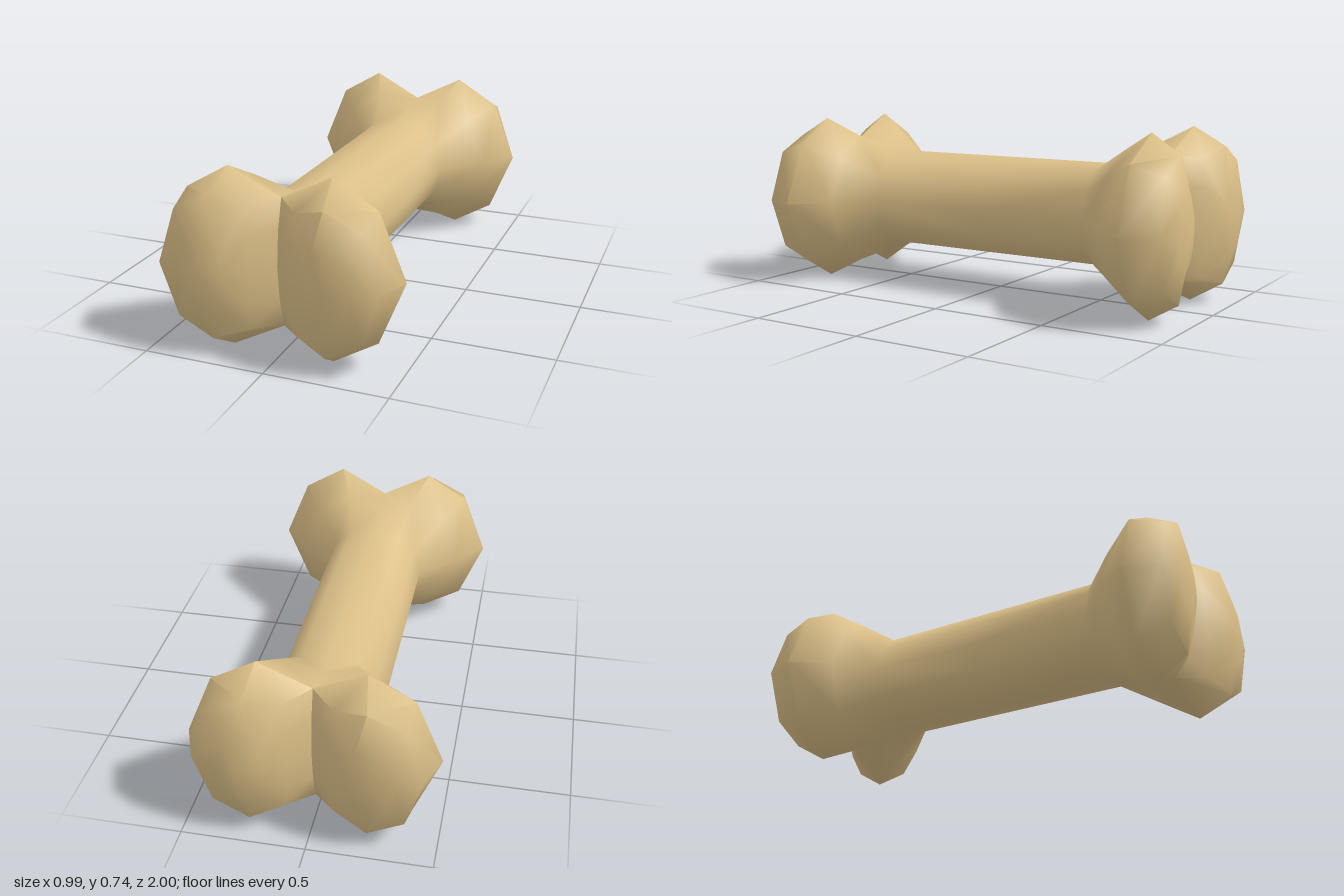
import * as THREE from 'three';
import { toCreasedNormals } from 'three/addons/utils/BufferGeometryUtils.js';

const MID = 0.368; // height of the bone's axis

// Mirror the upper points of a section (the last lies on the axis) downwards.
function halfRing(upper) {
  const lower = upper.slice(0, -1).reverse().map(([x, y, z]) => [x, 2 * MID - y, z]);
  return [...upper, ...lower];
}

// Half sections of the shaft and neck, from top to bottom round the outside.
const neck = [
  halfRing([[0, 0.585, 0], [0.115, 0.56, 0], [0.19, 0.48, 0], [0.22, MID, 0]]),
  halfRing([[0, 0.585, 0.52], [0.115, 0.56, 0.52], [0.19, 0.48, 0.52], [0.22, MID, 0.52]]),
  halfRing([[0, 0.61, 0.67], [0.155, 0.66, 0.68], [0.3, 0.565, 0.67], [0.38, MID, 0.66]]),
  halfRing([[0, 0.63, 0.80], [0.21, 0.736, 0.815], [0.39, 0.63, 0.81], [0.497, MID, 0.81]]),
];

// Closed sections of one knob; the inner points run back up the cleft.
const closed = (upper, inner) => {
  const [a, b] = inner;
  return [...halfRing(upper), [a[0], 2 * MID - a[1], a[2]], b, a];
};
const knob = [
  closed([[0, 0.63, 0.80], [0.21, 0.736, 0.815], [0.39, 0.63, 0.81], [0.497, MID, 0.81]],
    [[0, 0.51, 0.835], [0, MID, 0.85]]),
  closed([[0.1, 0.615, 0.90], [0.23, 0.655, 0.95], [0.375, 0.585, 0.945], [0.44, MID, 0.96]],
    [[0.085, 0.5, 0.925], [0.08, MID, 0.93]]),
  closed([[0.19, 0.49, 0.975], [0.25, 0.51, 0.985], [0.31, 0.47, 0.985], [0.34, MID, 0.985]],
    [[0.17, 0.43, 0.978], [0.165, MID, 0.98]]),
];
const tip = [0.245, MID, 1.0];

// One quarter of the bone, mirrored by the signs sx and sz.
function addQuarter(out, sx, sz) {
  const tri = (a, b, c) => {
    const corners = sx * sz > 0 ? [a, b, c] : [a, c, b];
    corners.forEach(([x, y, z]) => out.push(x * sx, y, z * sz));
  };
  const loft = (rings, wrap) => {
    for (let i = 0; i < rings.length - 1; i++) {
      const r = rings[i], s = rings[i + 1], n = r.length;
      for (let j = 0; j < (wrap ? n : n - 1); j++) {
        const k = (j + 1) % n;
        tri(r[j], s[j], r[k]);
        tri(r[k], s[j], s[k]);
      }
    }
  };
  loft(neck, false);
  loft(knob, true);
  const last = knob[knob.length - 1];
  last.forEach((p, j) => tri(p, tip, last[(j + 1) % last.length]));
}

export function createModel() {
  const group = new THREE.Group();
  group.name = 'bone';
  const tan = new THREE.MeshStandardMaterial({ color: 0xdbbf87 });
  tan.name = 'tan';

  // Continuous skin: shaft flaring into two knobs at each end
  const positions = [];
  for (const sx of [1, -1]) for (const sz of [1, -1]) addQuarter(positions, sx, sz);
  const geometry = new THREE.BufferGeometry();
  geometry.setAttribute('position', new THREE.Float32BufferAttribute(positions, 3));

  // Smooth everywhere except the cleft between the knobs
  const mesh = new THREE.Mesh(toCreasedNormals(geometry, 1.2), tan);
  mesh.name = 'shaftAndKnobs';
  group.add(mesh);
  return group;
}
